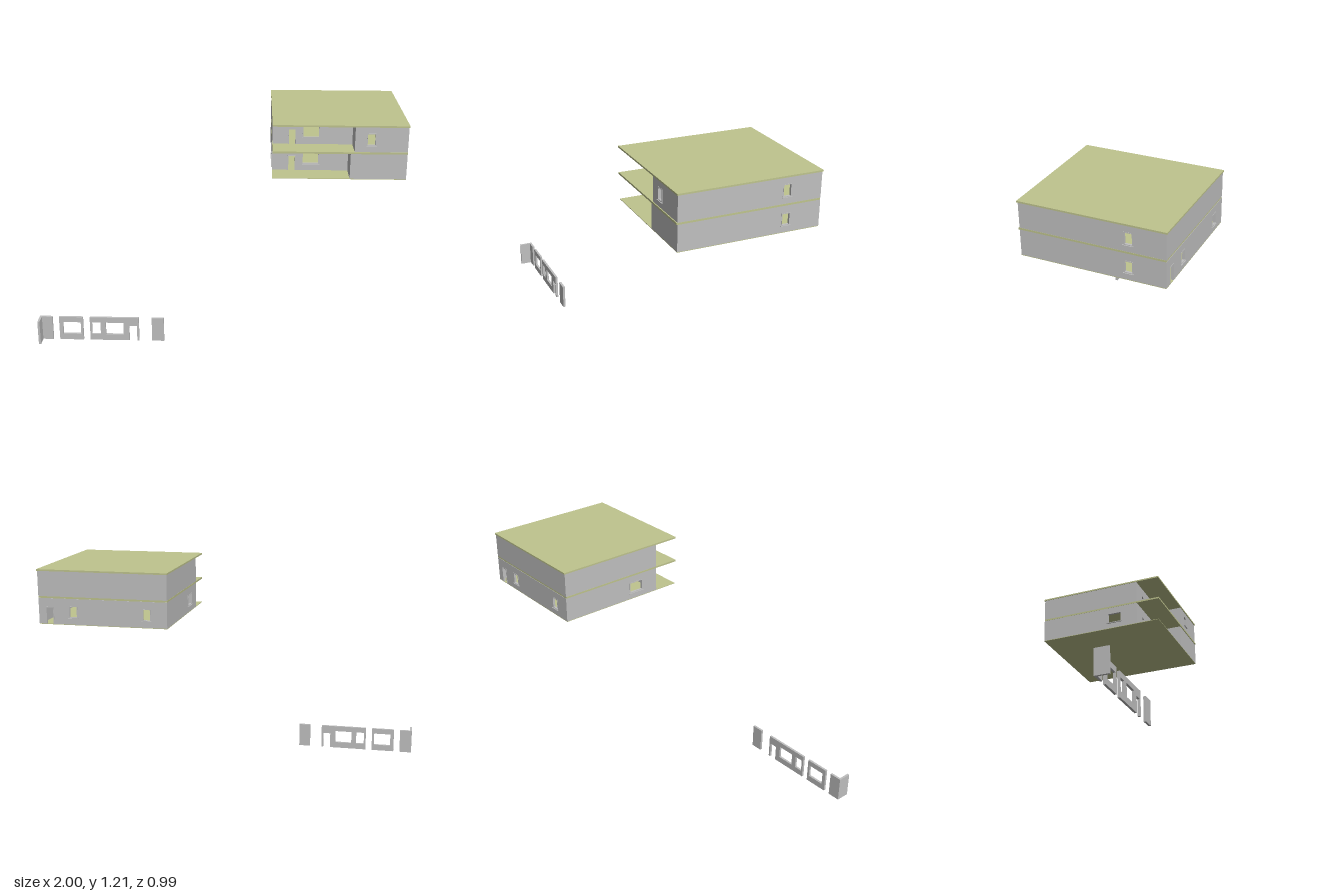
import * as THREE from 'three';

const WALL_T = 0.013;
const wallMat = new THREE.MeshStandardMaterial({ color: 0xc0c0c0 });
wallMat.name = 'wall grey';
const slabMat = new THREE.MeshStandardMaterial({ color: 0xbfc48e });
slabMat.name = 'slab olive';

function box(parent, name, mat, [x0, x1], [y0, y1], [z0, z1]) {
  const m = new THREE.Mesh(new THREE.BoxGeometry(x1 - x0, y1 - y0, z1 - z0), mat);
  m.position.set((x0 + x1) / 2, (y0 + y1) / 2, (z0 + z1) / 2);
  m.name = name;
  parent.add(m);
  return m;
}

function rectPath(Type, a, b, y0, y1) {
  return new Type([[a, y0], [b, y0], [b, y1], [a, y1]].map(p => new THREE.Vector2(...p)));
}

// Flat plate in the xy plane with holes; doors notch the bottom edge
function plate(length, height, openings, depth) {
  const pts = [[0, 0]];
  for (const o of openings.filter(o => o.y0 <= 0).sort((p, q) => p.a - q.a)) {
    pts.push([o.a, 0], [o.a, o.y1], [o.b, o.y1], [o.b, 0]);
  }
  pts.push([length, 0], [length, height], [0, height]);
  const shape = new THREE.Shape(pts.map(p => new THREE.Vector2(...p)));
  for (const o of openings) if (o.y0 > 0) shape.holes.push(rectPath(THREE.Path, o.a, o.b, o.y0, o.y1));
  return new THREE.ExtrudeGeometry(shape, { depth, bevelEnabled: false });
}

// Wall from one ground point to the next, outer face on the line.
// Openings are [from, to, sill, head], measured along the wall's world axis.
function wall(parent, name, [x0, z0], [x1, z1], y, height, list = []) {
  const g = new THREE.Group();
  g.name = name;
  g.position.set(x0, y, z0);
  g.rotation.y = Math.atan2(-(z1 - z0), x1 - x0);
  const start = x0 === x1 ? z0 : x0;
  const openings = list.map(([p, q, lo, hi]) => {
    const [a, b] = [Math.abs(p - start), Math.abs(q - start)].sort((m, n) => m - n);
    return { a, b, y0: lo, y1: hi };
  });
  const panel = new THREE.Mesh(plate(Math.hypot(x1 - x0, z1 - z0), height, openings, WALL_T), wallMat);
  panel.name = name + 'Panel';
  panel.position.z = -WALL_T;
  g.add(panel);

  // Slim frames and projecting sills
  const f = 0.004, zr = [-WALL_T + 0.002, 0.002];
  for (const { a, b, y0, y1 } of openings) {
    box(g, 'frameSide', wallMat, [a, a + f], [y0, y1], zr);
    box(g, 'frameSide', wallMat, [b - f, b], [y0, y1], zr);
    box(g, 'frameHead', wallMat, [a + f, b - f], [y1 - f, y1], zr);
    if (y0 > 0) {
      box(g, 'frameFoot', wallMat, [a + f, b - f], [y0, y0 + f], zr);
      box(g, 'windowSill', wallMat, [a - 0.004, b + 0.004], [y0 - 0.003, y0], [-WALL_T, 0.007]);
    }
  }
  parent.add(g);
}

// One storey: outline with a recessed terrace at the front
function storey(house, name, y, height, stepX, openings) {
  const g = new THREE.Group();
  g.name = name;
  const L = 0.277, R = 0.99, F = 0.285, B = -0.485, T = 0.145;
  const corners = [[stepX, F], [R, F], [R, B], [L, B], [L, T], [stepX, T]];
  const names = ['frontWall', 'leftWall', 'backWall', 'rightWall', 'terraceWall', 'terraceSideWall'];
  names.forEach((n, i) => wall(g, n, corners[i], corners[(i + 1) % 6], y, height, openings[n]));
  house.add(g);
}

// Free-standing wall panel with openings
function freePanel(parent, name, x0, x1, list = []) {
  const openings = list.map(([a, b, lo, hi]) => ({ a: a - x0, b: b - x0, y0: lo, y1: hi }));
  const m = new THREE.Mesh(plate(x1 - x0, 0.138, openings, WALL_T), wallMat);
  m.position.set(x0, 0, 0.42);
  m.name = name;
  parent.add(m);
}

export function createModel() {
  const model = new THREE.Group();
  model.name = 'houseAndPanels';

  // House
  const house = new THREE.Group();
  house.name = 'house';
  const terrace = [[0.362, 0.405, 0, 0.084], [0.44, 0.532, 0.035, 0.1]];
  storey(house, 'lowerStorey', 0.917, 0.139, 0.69, {
    leftWall: [[-0.317, -0.27, 0.035, 0.1]],
    backWall: [[0.905, 0.95, 0, 0.092], [0.772, 0.82, 0.035, 0.1], [0.365, 0.412, 0.035, 0.1]],
    rightWall: [[-0.05, 0.042, 0.035, 0.1]],
    terraceWall: terrace,
  });
  storey(house, 'upperStorey', 1.066, 0.136, 0.71, {
    frontWall: [[0.772, 0.82, 0.035, 0.102]],
    leftWall: [[-0.317, -0.27, 0.035, 0.102]],
    terraceWall: terrace,
  });

  // Floor and roof slabs
  box(house, 'groundSlab', slabMat, [0.277, 0.99], [0.914, 0.917], [-0.485, 0.285]);
  box(house, 'middleSlab', slabMat, [0.276, 0.991], [1.056, 1.066], [-0.483, 0.29]);
  box(house, 'roofSlab', slabMat, [0.274, 0.994], [1.202, 1.211], [-0.489, 0.29]);
  model.add(house);

  // Row of loose wall panels
  const panels = new THREE.Group();
  panels.name = 'loosePanels';
  freePanel(panels, 'cornerPanel', -1, -0.93);
  box(panels, 'cornerReturn', wallMat, [-1, -0.988], [0, 0.138], [0.433, 0.496]);
  freePanel(panels, 'windowPanel', -0.893, -0.76, [[-0.872, -0.773, 0.035, 0.107]]);
  freePanel(panels, 'doorPanel', -0.722, -0.449, [
    [-0.711, -0.663, 0.035, 0.107],
    [-0.634, -0.535, 0.035, 0.107],
    [-0.503, -0.46, 0, 0.09],
  ]);
  freePanel(panels, 'endPanel', -0.377, -0.31);
  model.add(panels);

  return model;
}
